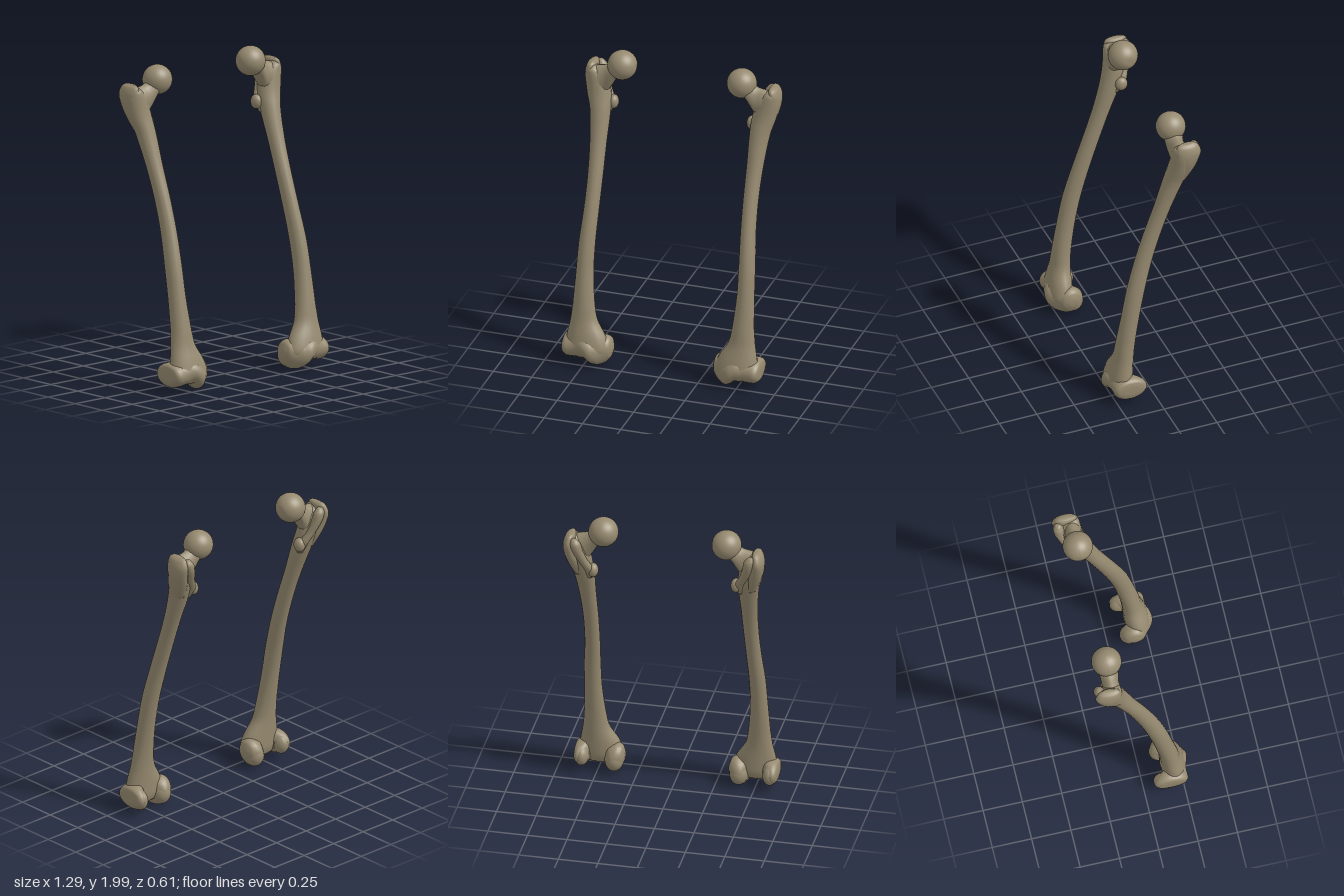
import * as THREE from 'three';

const bone = new THREE.MeshStandardMaterial({ color: 0x968a70 });
bone.name = 'bone';

// Smooth closed loft through elliptical sections, listed in ascending order along the axis.
// axis 'y': [x, y, z, radiusX, radiusZ]; axis 'x': [x, y, z, radiusY, radiusZ]
function loft(side, axis, sections, sub = 4, n = 20) {
  const centres = new THREE.CatmullRomCurve3(sections.map(([x, y, z]) => new THREE.Vector3(x, y, z)));
  const radii = new THREE.CatmullRomCurve3(sections.map((s, i) => new THREE.Vector3(s[3], s[4], i * 0.05)));
  const steps = (sections.length - 1) * sub;
  const pos = [], index = [];
  for (let i = 0; i <= steps; i++) {
    const c = centres.getPoint(i / steps), r = radii.getPoint(i / steps);
    for (let j = 0; j < n; j++) {
      const t = (j / n) * Math.PI * 2;
      const u = Math.cos(t) * Math.max(r.x, 0.002), w = Math.sin(t) * Math.max(r.y, 0.002);
      pos.push(side * (c.x + (axis === 'y' ? u : 0)), c.y + (axis === 'x' ? u : 0), c.z + w);
    }
  }
  const flip = (axis === 'x') !== (side < 0);
  const tri = (a, b, c) => (flip ? index.push(a, c, b) : index.push(a, b, c));
  for (let i = 0; i < steps; i++) {
    for (let j = 0; j < n; j++) {
      const a = i * n + j, b = i * n + ((j + 1) % n);
      tri(a, a + n, b);
      tri(b, a + n, b + n);
    }
  }
  // End caps
  for (const [k, base] of [[0, 0], [1, steps * n]]) {
    const c = centres.getPoint(k), centre = pos.length / 3;
    pos.push(side * c.x, c.y, c.z);
    for (let j = 0; j < n; j++) {
      const a = base + j, b = base + ((j + 1) % n);
      k ? tri(centre, b, a) : tri(centre, a, b);
    }
  }
  const g = new THREE.BufferGeometry();
  g.setAttribute('position', new THREE.Float32BufferAttribute(pos, 3));
  g.setIndex(index);
  g.computeVertexNormals();
  return g;
}

function ellipsoid(side, [x, y, z], [rx, ry, rz]) {
  return new THREE.SphereGeometry(1, 20, 14).scale(rx, ry, rz).translate(side * x, y, z);
}

// Ball of the hip joint with a shallow pit on its inner side
function headGeometry(side) {
  const g = new THREE.SphereGeometry(0.094, 28, 20);
  const p = g.attributes.position, v = new THREE.Vector3();
  const pit = new THREE.Vector3(-side, 0.05, -0.15).normalize();
  for (let i = 0; i < p.count; i++) {
    v.fromBufferAttribute(p, i);
    const d = v.angleTo(pit);
    if (d < 0.3) v.multiplyScalar(1 - 0.08 * (1 - d / 0.3));
    p.setXYZ(i, v.x, v.y, v.z);
  }
  g.computeVertexNormals();
  return g.translate(side * 0.39, 1.906, -0.19);
}

function createBone(side) {
  const group = new THREE.Group();
  group.name = side > 0 ? 'leftThighBone' : 'rightThighBone';
  const add = (name, geometry) => {
    const m = new THREE.Mesh(geometry, bone);
    m.name = name;
    group.add(m);
  };

  // Long bowed shaft, flaring at both ends
  add('shaft', loft(side, 'y', [
    [0.49, 0.07, 0.2, 0.11, 0.06],
    [0.488, 0.12, 0.205, 0.14, 0.08],
    [0.495, 0.2, 0.197, 0.125, 0.075],
    [0.515, 0.3, 0.182, 0.086, 0.063],
    [0.52, 0.4, 0.17, 0.07, 0.06],
    [0.525, 0.6, 0.138, 0.056, 0.058],
    [0.522, 0.8, 0.1, 0.052, 0.059],
    [0.512, 1.0, 0.048, 0.048, 0.057],
    [0.508, 1.2, -0.015, 0.048, 0.055],
    [0.512, 1.4, -0.085, 0.053, 0.055],
    [0.522, 1.6, -0.155, 0.066, 0.066],
    [0.54, 1.7, -0.185, 0.077, 0.069],
    [0.56, 1.8, -0.198, 0.074, 0.068],
    [0.578, 1.86, -0.19, 0.045, 0.05],
    [0.58, 1.88, -0.19, 0.02, 0.025],
  ]));

  // Neck and ball
  add('neck', loft(side, 'x', [
    [0.37, 1.905, -0.19, 0.06, 0.06],
    [0.42, 1.88, -0.19, 0.068, 0.064],
    [0.46, 1.83, -0.188, 0.08, 0.058],
    [0.5, 1.79, -0.19, 0.1, 0.054],
    [0.55, 1.77, -0.19, 0.11, 0.058],
    [0.6, 1.79, -0.195, 0.07, 0.05],
  ]));
  add('head', headGeometry(side));

  // Outer knob and the ridge running down the back from it
  add('greaterTrochanter', loft(side, 'y', [
    [0.545, 1.6, -0.18, 0.03, 0.04],
    [0.57, 1.7, -0.208, 0.045, 0.06],
    [0.59, 1.78, -0.222, 0.045, 0.073],
    [0.596, 1.84, -0.225, 0.04, 0.082],
    [0.59, 1.885, -0.22, 0.03, 0.068],
    [0.585, 1.9, -0.22, 0.014, 0.045],
  ]));
  add('trochantericCrest', loft(side, 'y', [
    [0.48, 1.57, -0.18, 0.02, 0.02],
    [0.475, 1.64, -0.213, 0.03, 0.03],
    [0.512, 1.72, -0.245, 0.03, 0.03],
    [0.54, 1.8, -0.27, 0.033, 0.035],
    [0.552, 1.85, -0.276, 0.034, 0.032],
    [0.56, 1.88, -0.275, 0.018, 0.015],
  ]));
  add('lesserTrochanter', ellipsoid(side, [0.452, 1.635, -0.205], [0.033, 0.046, 0.04]));

  // Knee end: two rounded lobes with a groove between them
  add('kneeEnd', loft(side, 'x', [
    [0.33, 0.12, 0.165, 0.025, 0.025],
    [0.345, 0.12, 0.165, 0.065, 0.06],
    [0.38, 0.11, 0.168, 0.092, 0.085],
    [0.42, 0.103, 0.185, 0.092, 0.1],
    [0.46, 0.118, 0.222, 0.08, 0.08],
    [0.5, 0.138, 0.22, 0.07, 0.075],
    [0.54, 0.132, 0.21, 0.075, 0.07],
    [0.58, 0.125, 0.18, 0.08, 0.098],
    [0.615, 0.122, 0.17, 0.076, 0.108],
    [0.638, 0.125, 0.17, 0.058, 0.09],
    [0.645, 0.125, 0.17, 0.03, 0.05],
  ], 4, 24));
  add('innerCondyle', ellipsoid(side, [0.395, 0.095, 0.145], [0.06, 0.075, 0.068]));
  add('outerCondyle', ellipsoid(side, [0.595, 0.115, 0.125], [0.045, 0.066, 0.065]));
  return group;
}

export function createModel() {
  const model = new THREE.Group();
  model.name = 'thighBones';
  for (const side of [1, -1]) model.add(createBone(side));
  return model;
}
